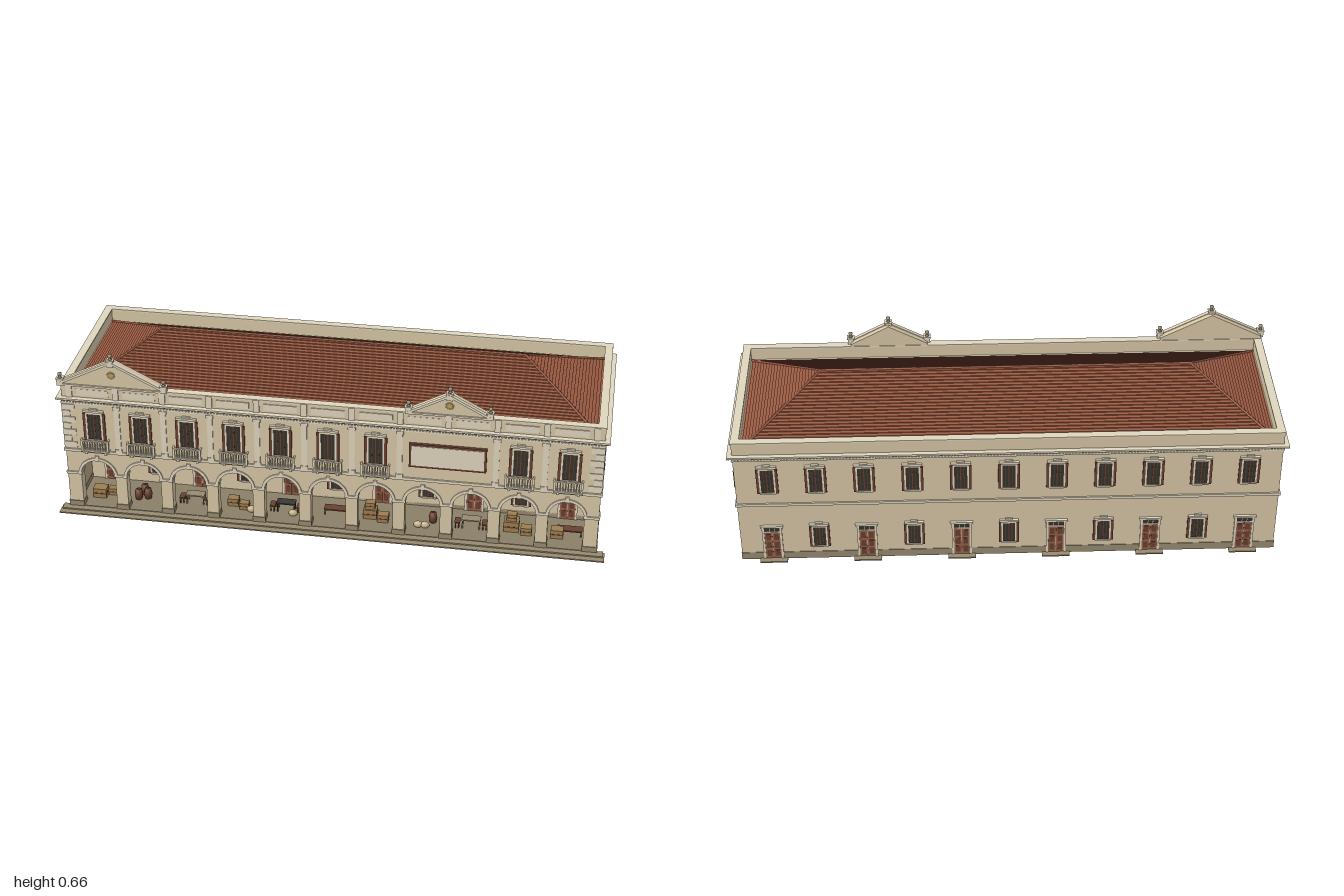
import * as THREE from 'three';
import { mergeGeometries } from 'three/addons/utils/BufferGeometryUtils.js';

const mat = (color) => new THREE.MeshStandardMaterial({ color });
const M = {
  wall: mat(0xd8c8a6), trim: mat(0xe0d6bd), plinth: mat(0x978a70), shade: mat(0xb5a47f),
  roof: mat(0x9a5a42), wood: mat(0x68402f), door: mat(0x96604a), glass: mat(0x37322c),
  iron: mat(0x3a3836), crate: mat(0x9c7d50), floor: mat(0x8a8068), gold: mat(0xc09a50), sack: mat(0xc8b48c),
};
const PITCH = 0.171, BAYS = 11, W = 0.97, ZF = 0.297, ZB = -0.322, ZC = (ZF + ZB) / 2, D = ZF - ZB;
const bayX = (i) => (i - 5) * PITCH;

function add(parent, name, geo, m, x = 0, y = 0, z = 0) {
  const mesh = new THREE.Mesh(geo, m);
  mesh.name = name;
  mesh.position.set(x, y, z);
  parent.add(mesh);
  return mesh;
}
// y is the underside of the box
const box = (p, name, m, w, h, d, x, y, z) => add(p, name, new THREE.BoxGeometry(w, h, d), m, x, y + h / 2, z);
function group(parent, name, x = 0, y = 0, z = 0, ry = 0) {
  const g = new THREE.Group();
  g.name = name;
  g.position.set(x, y, z);
  g.rotation.y = ry;
  parent.add(g);
  return g;
}
const extrude = (shape, depth) => new THREE.ExtrudeGeometry(shape, { depth, bevelEnabled: false, curveSegments: 16 });

// Window facing +z: frame, two panes, open shutters, optional hood
function windowUnit(parent, x, y, z, ry, w, h, hood) {
  const g = group(parent, 'window', x, y, z, ry), f = 0.006;
  box(g, 'windowGlass', M.glass, w, h, 0.004, 0, 0, 0.001);
  for (const s of [-1, 1]) {
    box(g, 'windowJamb', M.trim, f, h + 2 * f, 0.008, s * (w / 2 + f / 2), -f, 0.001);
    box(g, 'shutter', M.wood, w * 0.2, h + f, 0.006, s * (w / 2 + f + w * 0.1), -f / 2, 0.002);
    box(g, 'casement', M.wood, 0.002, h, 0.003, s * w * 0.25, 0, 0.002);
  }
  box(g, 'mullion', M.wood, 0.004, h, 0.004, 0, 0, 0.002);
  box(g, 'lintel', M.trim, w, f, 0.008, 0, h, 0.001);
  box(g, 'sill', M.trim, w + 2 * f, f, 0.009, 0, -f, 0.002);
  if (hood) {
    box(g, 'hood', M.trim, w + 0.026, 0.008, 0.014, 0, h + 0.009, 0.003);
    box(g, 'hoodCrown', M.trim, w * 0.6, 0.006, 0.01, 0, h + 0.017, 0.002);
  }
}

// Double door facing +z with fanlight and panels
function doorUnit(parent, x, z, ry, y = 0.012) {
  const g = group(parent, 'door', x, y, z, ry);
  box(g, 'fanlight', M.glass, 0.056, 0.02, 0.004, 0, 0.122, 0.001);
  box(g, 'doorHood', M.trim, 0.082, 0.008, 0.014, 0, 0.143, 0.003);
  box(g, 'transom', M.trim, 0.056, 0.004, 0.007, 0, 0.119, 0.001);
  for (const s of [-1, 1]) {
    box(g, 'doorLeaf', M.door, 0.027, 0.119, 0.005, s * 0.0142, 0, 0.001);
    box(g, 'doorJamb', M.trim, 0.008, 0.143, 0.01, s * 0.032, 0, 0.001);
    box(g, 'fanlightBar', M.trim, 0.002, 0.02, 0.005, s * 0.009, 0.122, 0.002);
    for (const py of [0.01, 0.047, 0.084]) box(g, 'doorPanel', M.wood, 0.017, 0.028, 0.003, s * 0.0142, py, 0.003);
  }
}

// Horizontal band running round the building
function band(parent, name, y, h, out, m = M.trim) {
  box(parent, name, m, 2 * (W + out), h, D + 2 * out, 0, y, ZC);
}

function finial(parent, x, y) {
  const pts = [[0, 0], [0.008, 0], [0.004, 0.004], [0.004, 0.008], [0.008, 0.013], [0.007, 0.018], [0, 0.022]];
  const geo = new THREE.LatheGeometry(pts.map((p) => new THREE.Vector2(...p)), 12);
  box(parent, 'finialPedestal', M.trim, 0.022, 0.026, 0.022, x, y, 0.296);
  box(parent, 'finialCap', M.trim, 0.027, 0.004, 0.026, x, y + 0.024, 0.296);
  add(parent, 'finial', geo, M.plinth, x, y + 0.028, 0.297);
}

function pediment(parent, cx, half, y0, peak) {
  const g = group(parent, 'pediment', cx, 0, 0);
  const tri = new THREE.Shape([[-half, 0.5], [half, 0.5], [half, y0], [0, peak], [-half, y0]].map((p) => new THREE.Vector2(...p)));
  add(g, 'gable', extrude(tri, 0.027), M.wall, 0, 0, 0.271);
  const len = Math.hypot(half, peak - y0), a = Math.atan2(peak - y0, half);
  for (const s of [-1, 1]) {
    const rake = add(g, 'rakingCornice', new THREE.BoxGeometry(len, 0.009, 0.016), M.trim, s * half / 2, (y0 + peak) / 2 - 0.002, 0.3);
    rake.rotation.z = -s * a;
    finial(g, s * half, 0.523);
  }
  box(g, 'gableBase', M.trim, 2 * half, 0.007, 0.012, 0, 0.522, 0.298);
  finial(g, 0, peak - 0.02);
  const disc = add(g, 'oculus', new THREE.CylinderGeometry(0.011, 0.011, 0.006, 20), M.gold, 0, y0 + (peak - y0) * 0.42, 0.298);
  disc.rotation.x = Math.PI / 2;
  add(g, 'oculusRing', new THREE.TorusGeometry(0.013, 0.002, 6, 20), M.trim, 0, disc.position.y, 0.3);
}

function balcony(parent, x) {
  const g = group(parent, 'balcony', x, 0, 0);
  box(g, 'balconySlab', M.trim, 0.104, 0.006, 0.024, 0, 0.259, 0.306);
  box(g, 'balconyRail', M.trim, 0.104, 0.005, 0.006, 0, 0.302, 0.313);
  for (const s of [-1, 1]) {
    box(g, 'balconySideRail', M.trim, 0.005, 0.005, 0.02, s * 0.05, 0.302, 0.305);
    box(g, 'balconyPost', M.trim, 0.008, 0.042, 0.007, s * 0.048, 0.262, 0.313);
    box(g, 'balconyBracket', M.trim, 0.009, 0.014, 0.012, s * 0.036, 0.245, 0.303);
  }
  for (let i = -4; i <= 4; i++) add(g, 'baluster', new THREE.CylinderGeometry(0.0018, 0.0032, 0.038, 6), M.trim, i * 0.0095, 0.284, 0.313);
}

// Hipped roof: stepped courses of tiles made from rectangular rings
function roofGeometry(rows) {
  const half = 0.285, xr = 0.665, y0 = 0.47, rise = 0.148, pos = [];
  const ring = (d, y) => [[-1, 1], [1, 1], [1, -1], [-1, -1]].map(([a, b]) => [a * (xr + d), y, b * d - 0.015]);
  const join = (lo, hi) => {
    for (let i = 0; i < 4; i++) {
      const j = (i + 1) % 4;
      pos.push(...lo[i], ...lo[j], ...hi[j], ...lo[i], ...hi[j], ...hi[i]);
    }
  };
  for (let i = 0; i < rows; i++) {
    const d0 = half * (1 - i / rows), d1 = half * (1 - (i + 1) / rows);
    const yb = y0 + rise * i / rows, yt = y0 + rise * (i + 1) / rows;
    join(ring(d0, yb), ring(d0, yb + 0.0035));
    join(ring(d0, yb + 0.0035), ring(d1, yt));
  }
  const geo = new THREE.BufferGeometry();
  geo.setAttribute('position', new THREE.Float32BufferAttribute(pos, 3));
  geo.computeVertexNormals();
  return geo;
}
function ridge(parent, a, b) {
  const curve = new THREE.LineCurve3(new THREE.Vector3(...a), new THREE.Vector3(...b));
  add(parent, 'ridgeTiles', new THREE.TubeGeometry(curve, 1, 0.005, 6), M.roof);
}

// Goods under the arcade
const crate = (p, x, z, s, y = 0.012) => {
  box(p, 'crate', M.crate, s, s * 0.75, s * 0.8, x, y, z);
  box(p, 'crateSlat', M.wood, s * 1.04, s * 0.1, s * 0.84, x, y + s * 0.32, z);
};
const barrel = (p, x, z) => {
  const pts = [[0, 0], [0.012, 0], [0.016, 0.02], [0.012, 0.04], [0, 0.04]].map((q) => new THREE.Vector2(...q));
  add(p, 'barrel', new THREE.LatheGeometry(pts, 12), M.wood, x, 0.012, z);
};
const table = (p, x, z, w, h, m) => {
  box(p, 'tableTop', m, w, 0.005, 0.035, x, 0.012 + h, z);
  for (const sx of [-1, 1]) for (const sz of [-1, 1]) box(p, 'tableLeg', m, 0.004, h, 0.004, x + sx * (w / 2 - 0.004), 0.012, z + sz * 0.014);
};
const sack = (p, x, z) => add(p, 'sack', new THREE.SphereGeometry(0.016, 10, 8), M.sack, x, 0.023, z).scale.set(1.1, 0.8, 0.8);

export function createModel() {
  const model = new THREE.Group();
  model.name = 'arcadedBuilding';

  // Main masses
  box(model, 'lowerStorey', M.wall, 2 * W, 0.25, 0.1 - ZB, 0, 0, (0.1 + ZB) / 2);
  box(model, 'upperStorey', M.wall, 2 * W, 0.225, D, 0, 0.247, ZC);
  box(model, 'rearPlinth', M.plinth, 2 * W + 0.004, 0.03, 0.1 - ZB + 0.002, 0, 0.001, (0.1 + ZB) / 2 - 0.001);
  box(model, 'arcadeFloor', M.floor, 2 * W, 0.012, 0.2, 0, 0, 0.197);
  box(model, 'frontStep', M.plinth, 1.99, 0.01, 0.032, 0, 0, 0.306);
  box(model, 'pavement', M.plinth, 2, 0.005, 0.055, 0, 0, 0.3175);

  // Arcade front wall
  const wall = new THREE.Shape();
  const R = 0.064, SPRING = 0.15;
  wall.moveTo(-W, 0);
  for (let i = 0; i < BAYS; i++) {
    wall.lineTo(bayX(i) - R, 0);
    wall.lineTo(bayX(i) - R, SPRING);
    wall.absarc(bayX(i), SPRING, R, Math.PI, 0, true);
    wall.lineTo(bayX(i) + R, 0);
  }
  wall.lineTo(W, 0);
  wall.lineTo(W, 0.25);
  wall.lineTo(-W, 0.25);
  add(model, 'arcadeWall', extrude(wall, 0.039), M.wall, 0, 0, 0.258);
  const arch = new THREE.Shape();
  arch.absarc(0, 0, 0.074, 0, Math.PI, false);
  arch.absarc(0, 0, R - 0.001, Math.PI, 0, true);
  const archGeo = extrude(arch, 0.008);
  for (let i = 0; i < BAYS; i++) {
    add(model, 'archivolt', archGeo, M.trim, bayX(i), SPRING, 0.294);
    box(model, 'keystone', M.trim, 0.014, 0.022, 0.011, bayX(i), 0.211, 0.297);
  }
  for (let i = 0; i <= BAYS; i++) {
    const end = i === 0 ? -1 : i === BAYS ? 1 : 0;
    const x = end ? end * 0.945 : bayX(i) - PITCH / 2, w = end ? 0.052 : 0.043;
    box(model, 'pierBase', M.plinth, w + 0.004, 0.03, 0.043, x, 0.001, 0.2785);
    box(model, 'pierCapital', M.trim, w + 0.006, 0.01, 0.045, x, 0.149, 0.2795);
  }
  for (const s of [-1, 1]) {
    box(model, 'arcadeEndWall', M.shade, 0.025, 0.24, 0.16, s * 0.954, 0.01, 0.179);
    box(model, 'arcadeEndPlinth', M.plinth, 0.032, 0.03, 0.16, s * 0.956, 0.001, 0.179);
  }

  // Bands, cornice and dentils
  band(model, 'beltCourse', 0.247, 0.011, 0.006);
  band(model, 'frieze', 0.448, 0.006, 0.004);
  band(model, 'cornice', 0.464, 0.006, 0.013);
  band(model, 'corniceTop', 0.468, 0.007, 0.018);
  const dentils = [];
  const dentil = (x, z) => dentils.push(new THREE.BoxGeometry(0.007, 0.01, 0.007).translate(x, 0.459, z));
  for (let i = -84; i <= 84; i++) for (const z of [ZF + 0.003, ZB - 0.003]) dentil(i * 0.0115, z);
  for (let i = -26; i <= 26; i++) for (const s of [-1, 1]) dentil(s * (W + 0.003), ZC + i * 0.0115);
  add(model, 'dentils', mergeGeometries(dentils), M.trim);

  // Parapet
  for (const [z, name] of [[ZF - 0.0135, 'frontParapet'], [ZB + 0.0115, 'rearParapet']]) {
    box(model, name, M.wall, 2 * W, 0.05, 0.025, 0, 0.472, z);
    box(model, 'coping', M.trim, 2 * W + 0.006, 0.005, 0.029, 0, 0.521, z);
  }
  for (const s of [-1, 1]) {
    box(model, 'sideParapet', M.wall, 0.025, 0.05, D, s * (W - 0.0125), 0.472, ZC);
    box(model, 'coping', M.trim, 0.029, 0.005, D, s * (W - 0.0125), 0.521, ZC);
  }
  for (let i = 0; i < BAYS; i++) box(model, 'parapetPanel', M.trim, 0.118, 0.026, 0.004, bayX(i), 0.484, ZF);

  // Pilasters, parapet posts and corner quoins
  for (let i = 0; i <= BAYS; i++) {
    const x = bayX(i) - PITCH / 2;
    box(model, 'parapetPost', M.trim, 0.022, 0.05, 0.008, x, 0.474, ZF);
    if (i === 8 || i === 0 || i === BAYS) continue;
    box(model, 'pilaster', M.trim, 0.02, 0.18, 0.008, x, 0.26, ZF);
    box(model, 'pilasterBase', M.trim, 0.026, 0.012, 0.012, x, 0.258, ZF);
    box(model, 'pilasterCapital', M.trim, 0.028, 0.012, 0.013, x, 0.436, ZF);
  }
  for (const s of [-1, 1]) for (let k = 0; k < 7; k++) {
    const l = k % 2 ? 0.03 : 0.048;
    box(model, 'quoin', M.trim, l, 0.024, l, s * (W + 0.003 - l / 2), 0.263 + k * 0.0262, ZF + 0.003 - l / 2);
  }

  // Openings on front and rear
  for (let i = 0; i < BAYS; i++) {
    const x = bayX(i);
    if (i !== 7 && i !== 8) {
      windowUnit(model, x, 0.305, ZF, 0, 0.05, 0.105, true);
      balcony(model, x);
    }
    windowUnit(model, x, 0.308, ZB, Math.PI, 0.046, 0.1, true);
    if (i % 2) {
      windowUnit(model, x, 0.055, 0.1, 0, 0.044, 0.082, false);
      windowUnit(model, x, 0.06, ZB, Math.PI, 0.044, 0.085, true);
      // hanging lantern
      box(model, 'lanternRod', M.iron, 0.002, 0.05, 0.002, x, 0.2, 0.2);
      add(model, 'lantern', new THREE.CylinderGeometry(0.009, 0.006, 0.022, 6), M.iron, x, 0.193, 0.2);
    } else {
      doorUnit(model, x, 0.1, 0);
      doorUnit(model, x, ZB, Math.PI, 0.006);
      box(model, 'rearStep', M.plinth, 0.1, 0.005, 0.025, x, 0, -0.334);
    }
  }
  // Openings on both ends
  for (const s of [-1, 1]) {
    for (const z of [0.208, 0.085, -0.037, -0.16, -0.274]) windowUnit(model, s * W, 0.319, z, s * Math.PI / 2, 0.029, 0.066, false);
    for (const z of [0.015, -0.108, -0.23]) windowUnit(model, s * W, 0.096, z, s * Math.PI / 2, 0.029, 0.066, false);
  }

  // Plain sign board
  box(model, 'signFrame', M.wood, 0.274, 0.096, 0.012, 0.428, 0.308, 0.301);
  box(model, 'signPanel', M.trim, 0.258, 0.08, 0.008, 0.428, 0.316, 0.305);

  // Pediments and roof
  pediment(model, -0.78, 0.19, 0.536, 0.632);
  pediment(model, 0.428, 0.143, 0.533, 0.609);
  add(model, 'tiledRoof', roofGeometry(25), M.roof);
  ridge(model, [-0.665, 0.617, -0.015], [0.665, 0.617, -0.015]);
  for (const sx of [-1, 1]) for (const sz of [-1, 1]) ridge(model, [sx * 0.665, 0.617, -0.015], [sx * 0.95, 0.472, -0.015 + sz * 0.285]);

  // Market goods
  const goods = group(model, 'arcadeGoods');
  for (const [i, dx, z, s] of [[0, -0.02, 0.22, 0.05], [0, 0.025, 0.2, 0.035], [3, -0.03, 0.2, 0.04], [3, 0.015, 0.22, 0.035],
    [6, -0.03, 0.2, 0.05], [6, 0.02, 0.22, 0.04], [9, -0.025, 0.2, 0.055], [9, 0.03, 0.22, 0.04], [10, -0.03, 0.22, 0.045]]) crate(goods, bayX(i) + dx, z, s);
  crate(goods, bayX(6) - 0.03, 0.2, 0.036, 0.05);
  crate(goods, bayX(9) - 0.025, 0.2, 0.036, 0.054);
  for (const [i, dx, z] of [[1, -0.045, 0.22], [1, -0.012, 0.21], [1, -0.03, 0.185], [7, 0.03, 0.2]]) barrel(goods, bayX(i) + dx, z);
  for (const [i, m] of [[2, M.plinth], [4, M.iron], [8, M.plinth]]) {
    table(goods, bayX(i), 0.21, 0.07, 0.034, m);
    for (const s of [-1, 1]) table(goods, bayX(i) + s * 0.05, 0.21, 0.02, 0.02, M.wood);
  }
  for (const i of [5, 10]) table(goods, bayX(i) + 0.015, 0.2, 0.09, 0.02, M.wood);
  for (const [i, dx] of [[3, 0.045], [4, 0.03], [7, -0.02], [7, 0.005]]) sack(goods, bayX(i) + dx, 0.24);
  return model;
}
